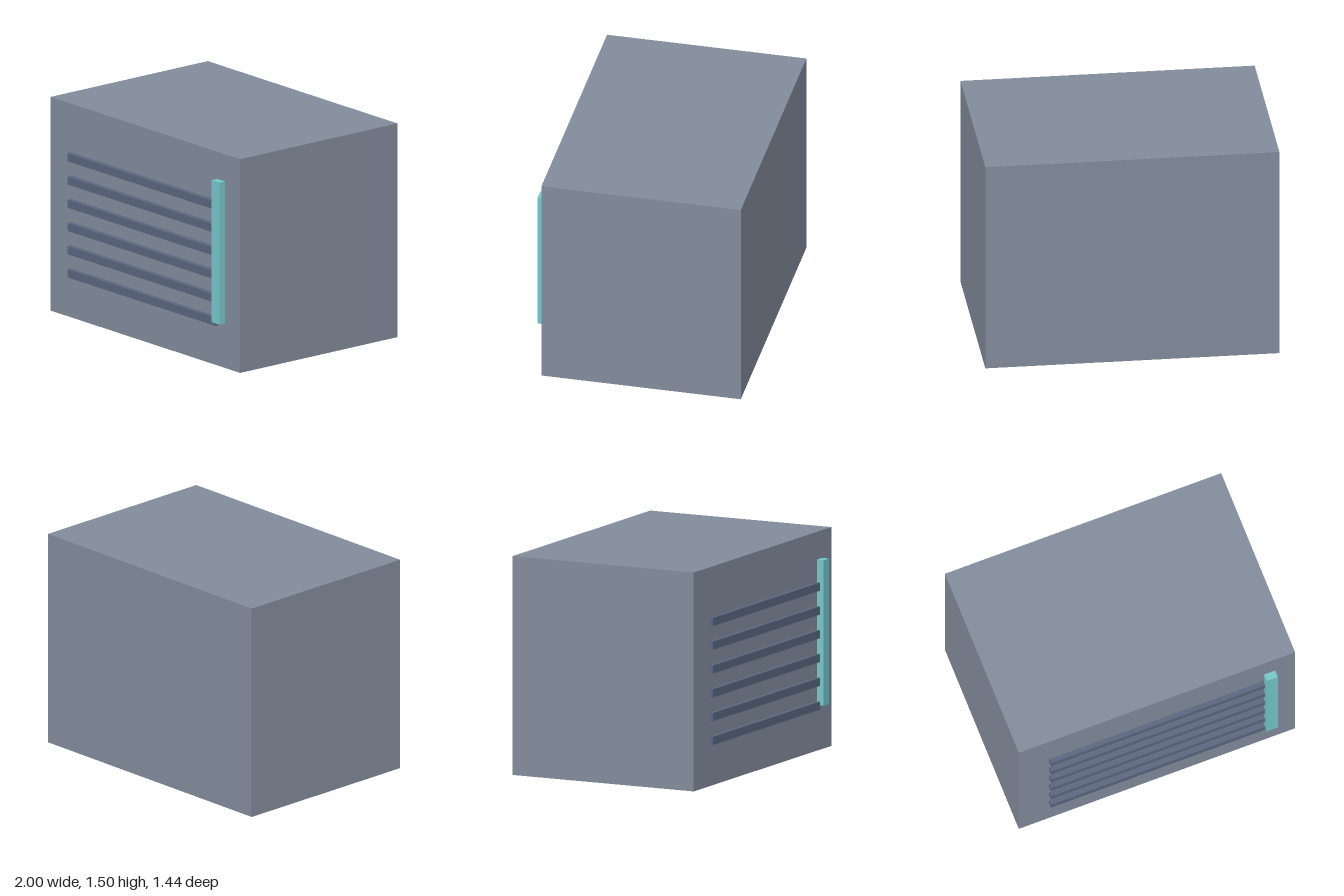
import * as THREE from 'three';

const material = (name, color) => {
  const m = new THREE.MeshStandardMaterial({ color });
  m.name = name;
  return m;
};

// Box given by its low and high corners
function block(name, mat, [x0, y0, z0], [x1, y1, z1]) {
  const mesh = new THREE.Mesh(new THREE.BoxGeometry(x1 - x0, y1 - y0, z1 - z0), mat);
  mesh.position.set((x0 + x1) / 2, (y0 + y1) / 2, (z0 + z1) / 2);
  mesh.name = name;
  return mesh;
}

export function createModel() {
  const model = new THREE.Group();
  model.name = 'ventedCabinet';
  const bodyGrey = material('bodyGrey', 0x828b9b);
  const slatBlue = material('slatBlue', 0x58667e);
  const stripTeal = material('stripTeal', 0x75c6c9);

  // Main cabinet
  model.add(block('cabinet', bodyGrey, [-1, 0, -0.72], [1, 1.5, 0.66]));

  // Horizontal vent slats across the front
  const slats = new THREE.Group();
  slats.name = 'ventSlats';
  for (let i = 0; i < 6; i++) {
    const y = 0.315 + i * 0.163;
    slats.add(block('slat' + (i + 1), slatBlue, [-0.78, y - 0.028, 0.64], [0.78, y + 0.028, 0.694]));
  }
  model.add(slats);

  // Upright indicator strip, standing just clear of the front panel
  model.add(block('indicatorStrip', stripTeal, [0.77, 0.316, 0.67], [0.852, 1.313, 0.72]));

  return model;
}
